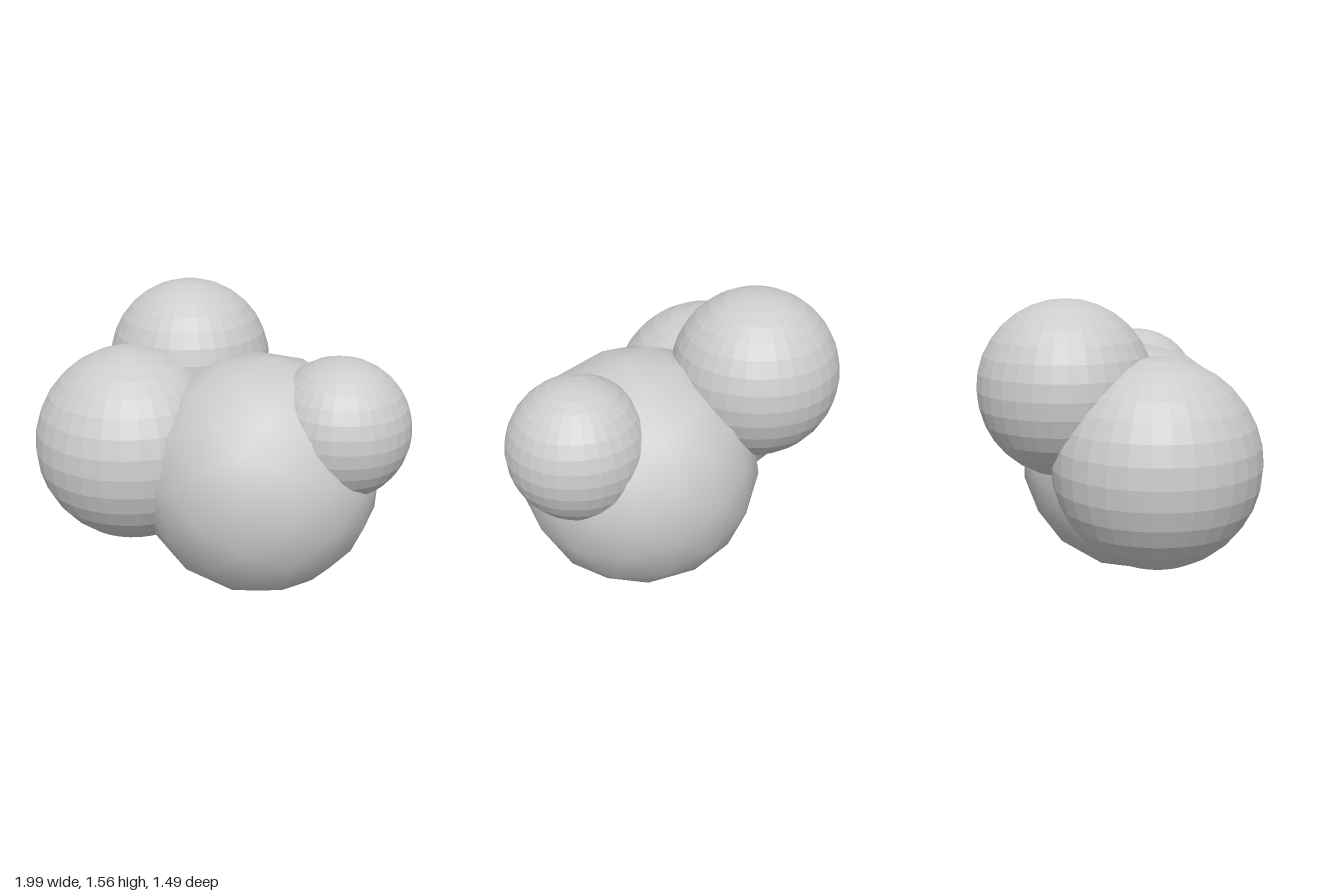
import * as THREE from 'three';
import { mergeVertices } from 'three/addons/utils/BufferGeometryUtils.js';

export function createModel() {
  const group = new THREE.Group();
  const smooth = new THREE.MeshStandardMaterial({ color: 0xcccccc });
  const faceted = new THREE.MeshStandardMaterial({ color: 0xcccccc, flatShading: true });

  function add(name, geometry, material, [x, y, z]) {
    const mesh = new THREE.Mesh(geometry, material);
    mesh.name = name;
    mesh.position.set(x, y, z);
    group.add(mesh);
    return mesh;
  }

  // Main ball: coarse triangulated sphere with smooth normals
  let ball = new THREE.IcosahedronGeometry(0.643, 2);
  ball.deleteAttribute('uv');
  ball.deleteAttribute('normal');
  ball = mergeVertices(ball, 1e-4);
  ball.computeVertexNormals();
  add('mainBall', ball, smooth, [0.21, 0.642, 0.107]).rotation.set(0.04, 0.08, 0.1);

  // Faceted balls fused to its sides and back
  const lobes = [
    ['rightBall', 0.525, [-0.475, 0.765, 0.13]],
    ['backTopBall', 0.447, [-0.275, 1.115, -0.305]],
    ['leftBall', 0.364, [0.63, 0.955, 0.163]],
  ];
  for (const [name, radius, position] of lobes) {
    add(name, new THREE.SphereGeometry(radius, 32, 16), faceted, position);
  }
  return group;
}
